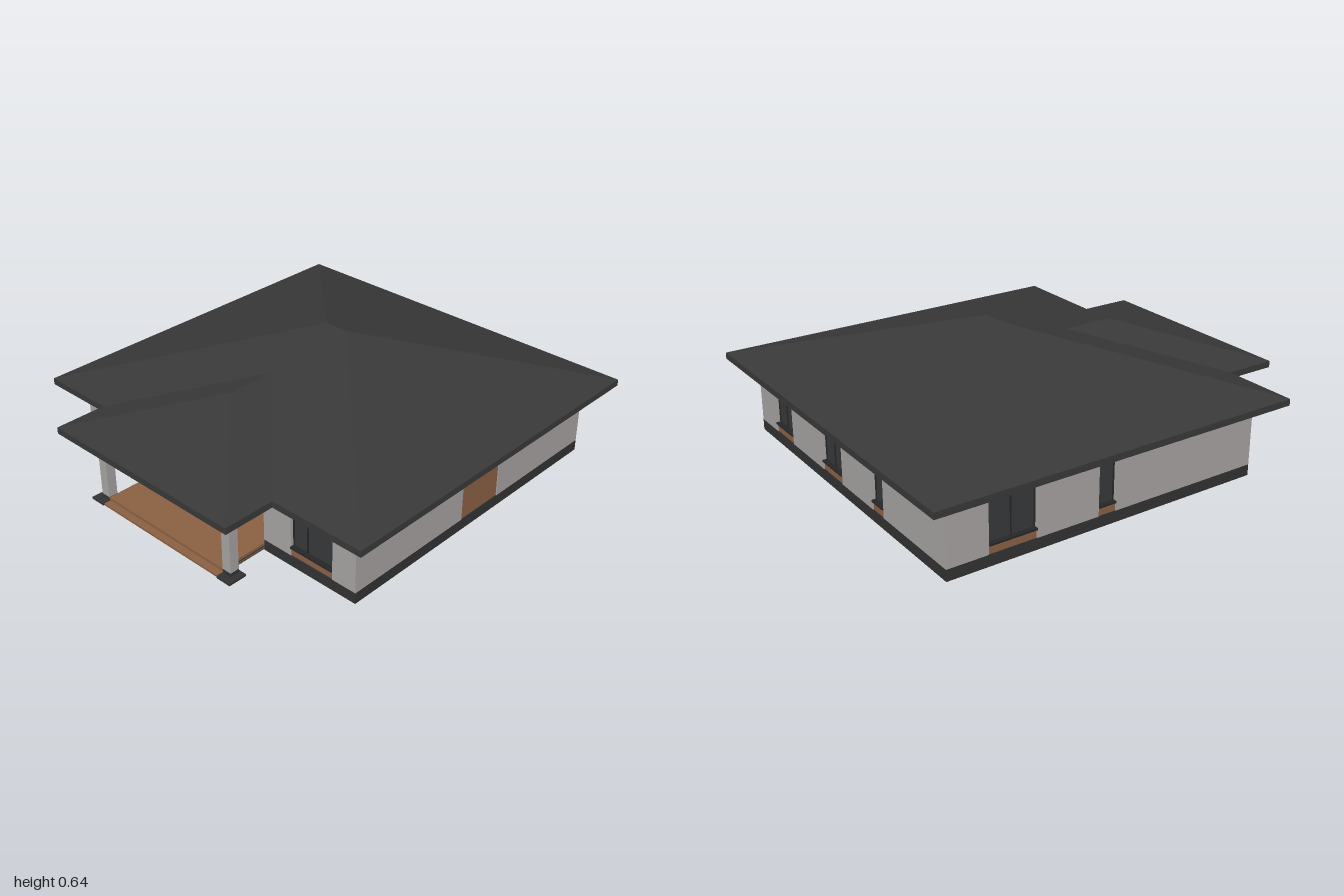
import * as THREE from 'three';

const mat = (name, color) => Object.assign(new THREE.MeshStandardMaterial({ color }), { name });

export function createModel() {
  const roofMat = mat('charcoal roof', 0x383838);
  const wallMat = mat('grey render', 0xa6a2a2);
  const plinthMat = mat('dark plinth', 0x323233);
  const woodMat = mat('timber cladding', 0x8a6043);
  const glassMat = mat('dark glass', 0x373839);
  const frameMat = mat('black frame', 0x262627);
  const baseMat = mat('brown underside', 0x5c4e41);
  const metalMat = mat('steel handle', 0xb8b8b8);

  const house = new THREE.Group();
  house.name = 'bungalow';

  // Box given by its two opposite corners
  const box = (name, m, x0, x1, y0, y1, z0, z1, parent = house) => {
    const mesh = new THREE.Mesh(new THREE.BoxGeometry(x1 - x0, y1 - y0, z1 - z0), m);
    mesh.position.set((x0 + x1) / 2, (y0 + y1) / 2, (z0 + z1) / 2);
    mesh.name = name;
    parent.add(mesh);
    return mesh;
  };

  const PLINTH = 0.052, TOP = 0.336, T = 0.05;

  // Window or door infill, facing local +z, with its face at z
  const glazing = (parent, u0, u1, y0, z, mullions = [], transom = null) => {
    box('glass', glassMat, u0, u1, y0, TOP, z - 0.02, z, parent);
    const f = 0.006, zf = z + 0.004;
    box('frameLeft', frameMat, u0, u0 + f, y0, TOP, z, zf, parent);
    box('frameRight', frameMat, u1 - f, u1, y0, TOP, z, zf, parent);
    for (const m of mullions) box('mullion', frameMat, m - f / 2, m + f / 2, y0, TOP, z, zf, parent);
    if (transom) box('transom', frameMat, u0 + f, u1 - f, transom - f / 2, transom + f / 2, z, zf, parent);
  };

  // Wall run along local x, outer face at local z = 0, with full-height openings
  const wallRun = (name, u0, u1, openings, place) => {
    const g = new THREE.Group();
    g.name = name;
    let u = u0;
    for (const [a, b, sill, mullions] of openings) {
      box('wallPanel', wallMat, u, a, PLINTH, TOP, -T, 0, g);
      box('apron', woodMat, a, b, PLINTH, sill, -T, -0.004, g);
      box('sill', frameMat, a, b, sill, sill + 0.008, -T, 0.006, g);
      glazing(g, a, b, sill + 0.008, -0.018, mullions);
      u = b;
    }
    box('wallPanel', wallMat, u, u1, PLINTH, TOP, -T, 0, g);
    g.position.set(place[0], 0, place[1]);
    g.rotation.y = place[2];
    house.add(g);
  };

  const X0 = -0.825, X1 = 0.82, Z0 = -0.89, Z1 = 0.65; // outer walls
  const RX0 = -0.41, RX1 = 0.315, RZ = 0.24;           // porch recess

  // Outer walls
  wallRun('frontWallRight', X0, RX0, [[-0.73, -0.505, 0.09, []]], [0, Z1, 0]);
  wallRun('frontWallLeft', RX1, X1, [[0.47, 0.697, 0.09, [0.55]]], [0, Z1, 0]);
  wallRun('backWall', -X1, -X0, [
    [-0.655, -0.485, 0.09, [-0.57]],
    [-0.18, -0.006, 0.09, [-0.093]],
    [0.262, 0.35, 0.09, []],
  ], [0, Z0, Math.PI]);
  wallRun('leftWall', -Z1 + T, -Z0 - T, [[0.02, 0.268, 0.232, []]], [X1, 0, Math.PI / 2]);
  wallRun('rightWall', Z0 + T, Z1 - T, [
    [-0.7, -0.477, 0.09, [-0.59]],
    [-0.176, -0.09, 0.09, []],
  ], [X0, 0, -Math.PI / 2]);

  // Recess side walls
  box('recessWallRight', wallMat, RX0 - T, RX0, PLINTH, TOP, RZ, Z1 - T);
  box('recessWallLeft', wallMat, RX1, RX1 + T, PLINTH, TOP, RZ, Z1 - T);

  // Entrance wall: timber panels, door and sliding window
  for (const [a, b] of [[RX0, -0.335], [-0.22, -0.095], [0.245, RX1]])
    box('timberPanel', woodMat, a, b, 0.03, TOP, RZ - T, RZ);
  glazing(house, -0.335, -0.22, 0.03, RZ - 0.012, [], 0.268);
  glazing(house, -0.095, 0.245, 0.03, RZ - 0.012, [0.013], 0.268);
  for (const x of [-0.23, 0.003])
    box('handle', metalMat, x - 0.003, x + 0.003, 0.135, 0.165, RZ - 0.008, RZ + 0.004);

  // Plinth ring and underside slab
  const P = 0.04;
  box('plinthBack', plinthMat, X0, X1, 0, PLINTH, Z0, Z0 + P);
  box('plinthRight', plinthMat, X0, X0 + P, 0, PLINTH, Z0 + P, Z1 - P);
  box('plinthLeft', plinthMat, X1 - P, X1, 0, PLINTH, Z0 + P, Z1 - P);
  box('plinthFrontRight', plinthMat, X0, RX0, 0, PLINTH, Z1 - P, Z1);
  box('plinthFrontLeft', plinthMat, RX1, X1, 0, PLINTH, Z1 - P, Z1);
  box('plinthRecessRight', plinthMat, RX0 - P, RX0, 0.02, PLINTH, RZ, Z1 - P);
  box('plinthRecessLeft', plinthMat, RX1, RX1 + P, 0.02, PLINTH, RZ, Z1 - P);
  box('underside', baseMat, X0 + P, X1 - P, 0.004, 0.02, Z0 + P, Z1 - P);
  box('porchUnderside', baseMat, RX0, RX1, 0.004, 0.012, Z1 - P, 0.885);

  // Porch deck with a front step
  box('deck', woodMat, RX0, RX1, 0.022, 0.035, RZ, 0.885);
  box('deckBase', plinthMat, RX0 + 0.005, RX1 - 0.005, 0.012, 0.022, RZ, 0.88);
  box('step', woodMat, RX0, RX1, 0.008, 0.018, 0.88, 0.915);

  // Porch pillars with footings and caps
  for (const x of [-0.435, 0.34]) {
    const h = 0.0235;
    box('pillar', wallMat, x - h, x + h, 0.035, 0.325, 0.84, 0.885);
    box('pillarFoot', plinthMat, x - h, x + h, 0, 0.035, 0.84, 0.885);
    box('pillarCap', frameMat, x - h - 0.006, x + h + 0.006, 0.325, 0.336, 0.834, 0.891);
    const s = Math.sign(x + 0.048);
    const edge = [x - s * h, x + s * 0.053].sort((a, b) => a - b);
    box('footPlate', plinthMat, edge[0], edge[1], 0.008, 0.018, 0.83, 0.92);
  }

  // Eaves outline, inset by d, extruded upward
  const eaves = (name, m, d, y, h) => {
    const pts = [[-0.935 + d, -1 + d], [0.935 - d, -1 + d], [0.935 - d, 0.755 - d], [0.475 - d, 0.755 - d],
      [0.475 - d, 1 - d], [-0.573 + d, 1 - d], [-0.573 + d, 0.755 - d], [-0.935 + d, 0.755 - d]];
    const shape = new THREE.Shape(pts.map(([x, z]) => new THREE.Vector2(x, -z)));
    const geo = new THREE.ExtrudeGeometry(shape, { depth: h, bevelEnabled: false });
    geo.rotateX(-Math.PI / 2);
    const mesh = new THREE.Mesh(geo, m);
    mesh.position.y = y;
    mesh.name = name;
    house.add(mesh);
  };
  eaves('fascia', roofMat, 0, 0.345, 0.03);
  eaves('soffit', wallMat, 0.033, 0.335, 0.011);

  // Roof slopes, each polygon listed counter-clockwise from outside
  const slopes = (name, polys) => {
    const pos = [];
    for (const p of polys)
      for (let i = 1; i < p.length - 1; i++) pos.push(...p[0], ...p[i], ...p[i + 1]);
    const geo = new THREE.BufferGeometry();
    geo.setAttribute('position', new THREE.Float32BufferAttribute(pos, 3));
    geo.computeVertexNormals();
    const mesh = new THREE.Mesh(geo, roofMat);
    mesh.name = name;
    house.add(mesh);
  };
  const E = 0.375;
  const bl = [-0.935, E, -1], br = [0.935, E, -1], fl = [-0.935, E, 0.755], fr = [0.935, E, 0.755];
  const ra = [-0.058, 0.641, -0.122], rb = [0.058, 0.641, -0.122];
  slopes('mainRoof', [[fl, fr, rb, ra], [br, bl, ra, rb], [fr, br, rb], [bl, fl, ra]]);
  const pl = [-0.573, E, 1], pr = [0.475, E, 1], vl = [-0.573, E, 0.755], vr = [0.475, E, 0.755];
  const pf = [-0.049, 0.534, 0.477], pb = [-0.049, 0.534, 0.231];
  slopes('porchRoof', [[pl, pr, pf], [pr, vr, pb, pf], [vl, pl, pf, pb]]);

  return house;
}
